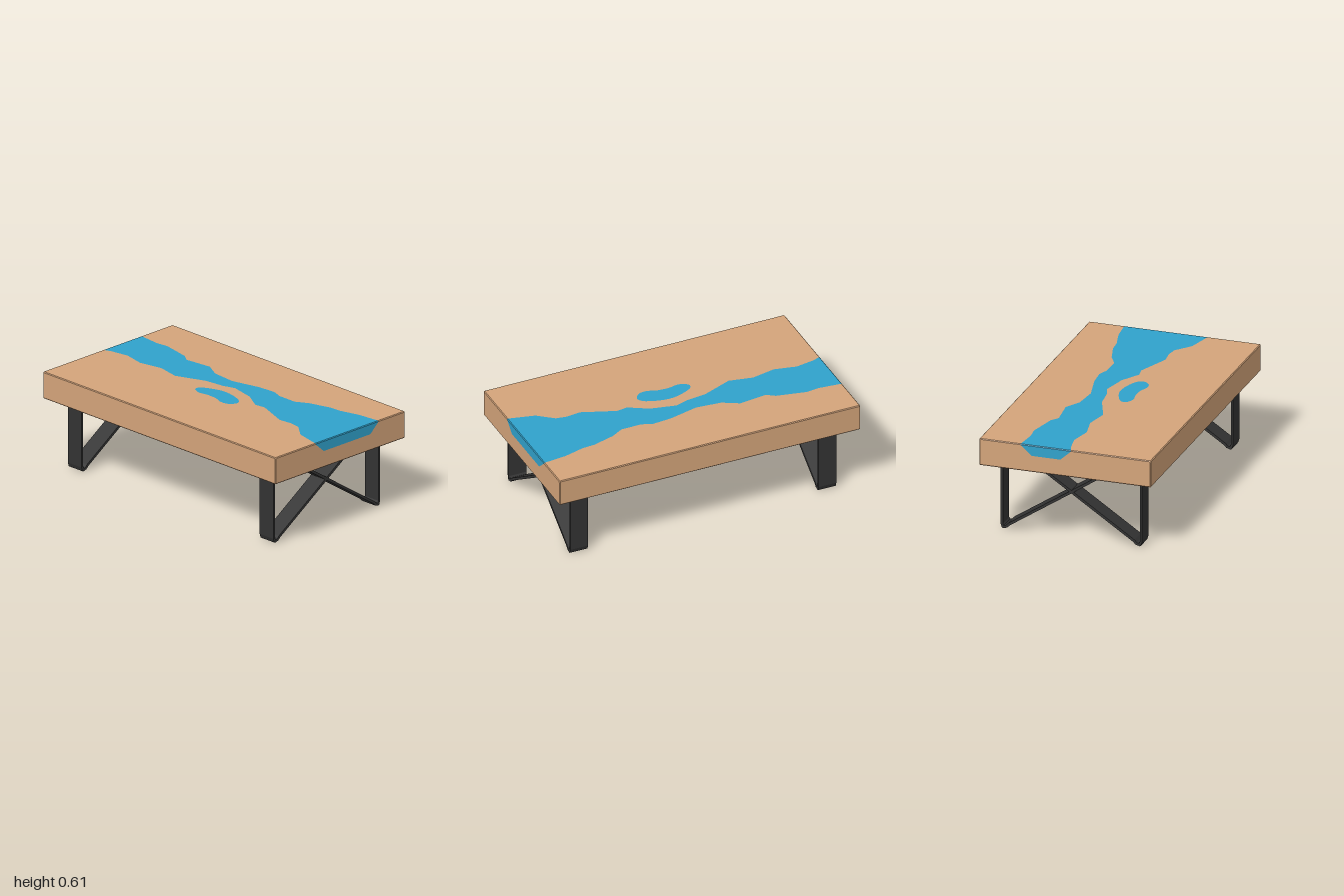
import * as THREE from 'three';

const wood = new THREE.MeshStandardMaterial({ color: 0xd4a47a });
const resin = new THREE.MeshStandardMaterial({ color: 0x30a2cc });
const steel = new THREE.MeshStandardMaterial({ color: 0x333333 });

const HALF = 0.55, TOP = 0.614, BASE = 0.441, BED = 0.546, E = 0.005;

// River banks as [z, x]
const leftBank = [[-1, -0.04], [-0.95, -0.02], [-0.83, 0], [-0.69, -0.03], [-0.54, 0], [-0.39, -0.03],
  [-0.2, 0.045], [-0.07, 0.06], [0.01, 0.085], [0.17, 0.05], [0.29, -0.02], [0.36, -0.01],
  [0.57, -0.09], [0.66, -0.08], [0.73, -0.09], [0.83, -0.17], [1, -0.21]];
const rightBank = [[-1, 0.285], [-0.85, 0.27], [-0.77, 0.28], [-0.58, 0.24], [-0.53, 0.205], [-0.35, 0.225],
  [-0.25, 0.17], [-0.09, 0.155], [0.1, 0.2], [0.22, 0.21], [0.29, 0.185], [0.42, 0.185],
  [0.5, 0.23], [0.64, 0.27], [0.72, 0.275], [0.85, 0.31], [1, 0.325]];
// Small pool outline as [x, z]
const poolPoints = [[-0.09, -0.155], [-0.06, -0.15], [-0.02, -0.08], [0, 0], [-0.01, 0.09], [-0.045, 0.175],
  [-0.08, 0.195], [-0.125, 0.165], [-0.135, 0.11], [-0.115, 0.05], [-0.11, -0.03], [-0.12, -0.1]];

function bankX(bank, z) {
  let i = 1;
  while (i < bank.length - 1 && bank[i][0] < z) i++;
  const [z0, x0] = bank[i - 1], [z1, x1] = bank[i];
  return x0 + (x1 - x0) * (z - z0) / (z1 - z0);
}

// All stations along the table, with an extra pair for the bevelled ends
const stations = [...new Set([...leftBank, ...rightBank].map(p => p[0]).concat(-1 + E, 1 - E))].sort((a, b) => a - b);

function channel(z) {
  const l = bankX(leftBank, z), r = bankX(rightBank, z);
  return { l, r, s: Math.min(0.07, 0.4 * (r - l)), inset: Math.abs(z) === 1 ? E : 0 };
}

function woodSection(z) {
  const { l, r, s, inset } = channel(z);
  const X = HALF - inset, T = TOP - inset, B = BASE + inset;
  return [[-X + E, B], [X - E, B], [X, B + E], [X, T - E], [X - E, T], [r, T], [r - s, BED],
    [l + s, BED], [l, T], [-X + E, T], [-X, T - E], [-X, B + E]];
}

function riverSection(z) {
  const { l, r, s, inset } = channel(z);
  return [[l + s, BED], [r - s, BED], [r, TOP - inset], [l, TOP - inset]];
}

// Joins counter-clockwise sections along z and caps both ends
function loft(section, skip = () => false) {
  const rows = stations.map(z => section(z).map(([x, y]) => new THREE.Vector3(x, y, z)));
  const pos = [];
  const tri = (...v) => v.forEach(p => pos.push(p.x, p.y, p.z));
  for (let i = 0; i < rows.length - 1; i++) {
    const n = rows[i].length;
    for (let j = 0; j < n; j++) {
      if (skip(i, j)) continue;
      const k = (j + 1) % n, a = rows[i][j], b = rows[i][k], c = rows[i + 1][k], d = rows[i + 1][j];
      tri(a, b, c);
      tri(a, c, d);
    }
  }
  const first = rows[0], last = rows[rows.length - 1];
  for (const [a, b, c] of THREE.ShapeUtils.triangulateShape(last.map(p => new THREE.Vector2(p.x, p.y)), []))
    tri(last[a], last[b], last[c]);
  for (const [a, b, c] of THREE.ShapeUtils.triangulateShape(first.map(p => new THREE.Vector2(p.x, p.y)), []))
    tri(first[a], first[c], first[b]);
  const g = new THREE.BufferGeometry();
  g.setAttribute('position', new THREE.Float32BufferAttribute(pos, 3));
  g.computeVertexNormals();
  return g;
}

function add(parent, name, geometry, material) {
  const mesh = new THREE.Mesh(geometry, material);
  mesh.name = name;
  parent.add(mesh);
  return mesh;
}

export function createModel() {
  const model = new THREE.Group();
  model.name = 'riverCoffeeTable';

  // Slab with a channel; the left top face is left open for the panel with the pool hole
  const lastRow = stations.length - 2;
  add(model, 'woodSlab', loft(woodSection, (i, j) => j === 8 && i > 0 && i < lastRow), wood);
  add(model, 'resinRiver', loft(riverSection), resin);

  // Left top panel, cut out around the pool
  const poolOutline = new THREE.CatmullRomCurve3(
    poolPoints.map(([x, z]) => new THREE.Vector3(x, -z, 0)), true).getPoints(48).slice(0, -1)
    .map(p => new THREE.Vector2(p.x, p.y));
  const inner = stations.slice(1, -1);
  const panel = new THREE.Shape([
    new THREE.Vector2(-HALF + E, 1 - E), new THREE.Vector2(-HALF + E, -1 + E),
    ...inner.map(z => new THREE.Vector2(bankX(leftBank, z), -z)).reverse()]);
  panel.holes.push(new THREE.Path(poolOutline));
  const panelGeometry = new THREE.ShapeGeometry(panel).rotateX(-Math.PI / 2).translate(0, TOP, 0);
  add(model, 'woodTopPanel', panelGeometry, wood);

  // Resin pool inlay, flush with the top
  const poolGeometry = new THREE.ExtrudeGeometry(new THREE.Shape(poolOutline), { depth: TOP - BED, bevelEnabled: false })
    .rotateX(-Math.PI / 2).translate(0, BED, 0);
  add(model, 'resinPool', poolGeometry, resin);

  // Bent flat-bar legs: an upright, a rounded foot and a diagonal brace
  const bar = new THREE.Shape([[-0.453, 0.445], [-0.453, 0.03], [-0.445, 0.004], [-0.438, 0], [-0.41, 0.008],
    [-0.395, 0.024], [0.242, 0.445], [0.212, 0.445], [-0.405, 0.037], [-0.419, 0.022], [-0.432, 0.018],
    [-0.439, 0.03], [-0.439, 0.445]].map(p => new THREE.Vector2(...p)));
  const width = 0.117;
  const barGeometry = new THREE.ExtrudeGeometry(bar, { depth: width, bevelEnabled: false }).translate(0, 0, -width / 2);
  for (const [end, z] of [['front', 0.825], ['back', -0.825]]) {
    const pair = new THREE.Group();
    pair.name = end + 'Legs';
    pair.position.z = z;
    add(pair, end + 'RightLeg', barGeometry, steel);
    add(pair, end + 'LeftLeg', barGeometry, steel).rotation.y = Math.PI;
    model.add(pair);
  }
  return model;
}
